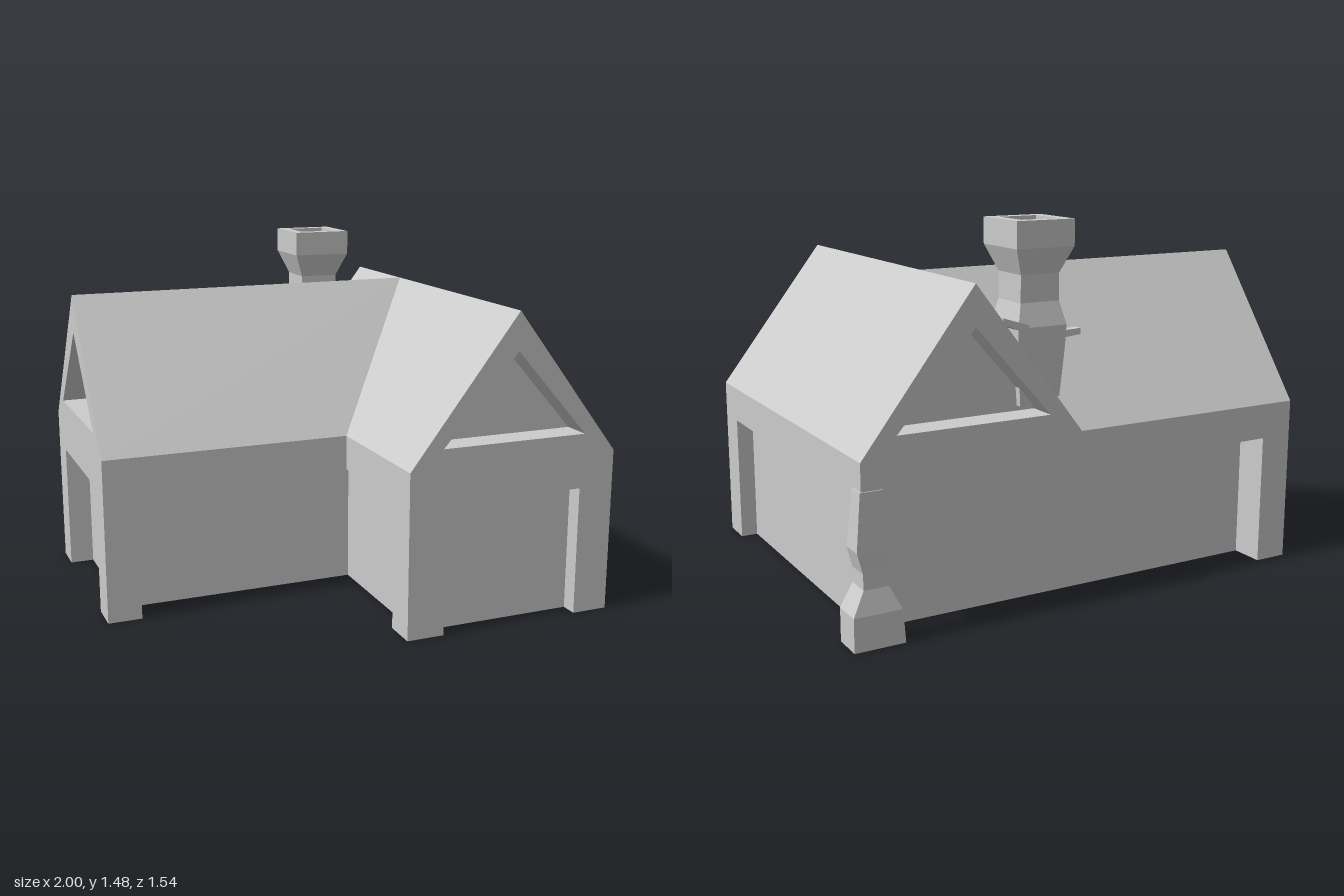
import * as THREE from 'three';

const material = new THREE.MeshStandardMaterial({ color: 0xcccccc, flatShading: true, side: THREE.DoubleSide });

// Flat polygons (corners counter-clockwise from outside) joined in one mesh
function facesMesh(name, faces) {
  const pos = [];
  for (const f of faces)
    for (let i = 1; i < f.length - 1; i++) pos.push(...f[0], ...f[i], ...f[i + 1]);
  const geo = new THREE.BufferGeometry();
  geo.setAttribute('position', new THREE.Float32BufferAttribute(pos, 3));
  geo.computeVertexNormals();
  const mesh = new THREE.Mesh(geo, material);
  mesh.name = name;
  return mesh;
}

// Skin over a stack of rings, with optional end caps
function loft(name, rings, capStart = false, capEnd = false) {
  const faces = [];
  for (let k = 0; k < rings.length - 1; k++) {
    const a = rings[k], b = rings[k + 1];
    a.forEach((p, i) => {
      const j = (i + 1) % a.length;
      faces.push([p, a[j], b[j], b[i]]);
    });
  }
  if (capStart) faces.push([...rings[0]].reverse());
  if (capEnd) faces.push(rings[rings.length - 1]);
  return facesMesh(name, faces);
}

const ringAt = (outline, y) => outline.map(([x, z]) => [x, y, z]);
const rect = (x0, x1, z0, z1) => [[x0, z1], [x1, z1], [x1, z0], [x0, z0]];

// Main dimensions
const L = -1, M = 0.04, R = 0.95, BACK = -0.74, MID = 0.16, FRONT = 0.77;
const LEDGE = 0.535, EAVE = 0.68, RIDGE = 1.272;
const RX = (M + R) / 2, RZ = (BACK + MID) / 2;

// Gable triangle with a sunken triangular niche, facing local +z
function gable(name, half) {
  const g = new THREE.Group();
  g.name = name;
  const tri = [[-half, 0], [half, 0], [0, RIDGE - EAVE]];
  const niche = [[-0.315, 0.08], [0.315, 0.08], [0, 0.435]];
  const vec = (pts) => pts.map(([x, y]) => new THREE.Vector2(x, y));
  const shape = new THREE.Shape(vec(tri));
  shape.holes.push(new THREE.Path(vec(niche).reverse()));
  const wall = new THREE.Mesh(new THREE.ShapeGeometry(shape), material);
  wall.name = 'gableWall';
  const ring = (z) => niche.map(([x, y]) => [x, y, z]);
  g.add(wall, loft('gableNiche', [ring(0), ring(-0.12)], false, true));
  return g;
}

// Flat branch tapering between two points
function branch(a, b, wa, wb) {
  const dx = b[0] - a[0], dz = b[2] - a[2], len = Math.hypot(dx, dz);
  const nx = -dz / len, nz = dx / len;
  const ring = ([x, y, z], w, h) => [
    [x - nx * w, y - h, z - nz * w], [x - nx * w, y + h, z - nz * w],
    [x + nx * w, y + h, z + nz * w], [x + nx * w, y - h, z + nz * w]];
  return loft('chimneyBranch', [ring(a, wa, 0.015), ring(b, wb, 0.012)], true, true);
}

export function createModel() {
  const house = new THREE.Group();
  house.name = 'house';

  // Walls: inset lower storey, ledge, then the overhanging band up to the eaves
  const outer = [[L, MID], [M, MID], [M, FRONT], [R, FRONT], [R, BACK], [L, BACK]];
  const inner = [[-0.9, 0.02], [0.11, 0.02], [0.11, 0.7], [0.88, 0.7], [0.88, -0.6], [-0.9, -0.6]];
  house.add(loft('walls', [
    ringAt(inner, 0), ringAt(inner, LEDGE), ringAt(outer, LEDGE), ringAt(outer, EAVE)]));

  // Square corner posts, open underneath
  const posts = [
    [L, -0.86, 0.02, MID], [L, -0.86, BACK, -0.6],
    [M, 0.197, 0.63, FRONT], [0.797, R, 0.63, FRONT]];
  for (const p of posts) {
    const o = rect(...p);
    house.add(loft('cornerPost', [ringAt(o, 0), ringAt(o, LEDGE)]));
  }

  // Crooked trunk carrying the back corner
  const trunk = [
    [0, 0.8, 1, -0.77, -0.645], [0.13, 0.81, 1, -0.77, -0.645],
    [0.22, 0.855, 0.953, -0.752, -0.652], [0.28, 0.85, 0.953, -0.75, -0.655],
    [0.36, 0.865, 0.975, -0.752, -0.66], [0.575, 0.87, 0.956, -0.745, -0.672]];
  house.add(loft('trunkPost', trunk.map(([y, ...r]) => ringAt(rect(...r), y)), true, true));

  // Roof: two crossing ridges meeting in valleys
  const meet = [RX, RIDGE, RZ], ridgeL = [L, RIDGE, RZ];
  const ridgeF = [RX, RIDGE, FRONT], ridgeB = [RX, RIDGE, BACK];
  const valleyF = [M, EAVE, MID], valleyB = [M, EAVE, BACK];
  house.add(facesMesh('roof', [
    [[L, EAVE, MID], valleyF, meet, ridgeL],
    [valleyB, [L, EAVE, BACK], ridgeL, meet],
    [valleyF, [M, EAVE, FRONT], ridgeF, meet],
    [valleyB, meet, ridgeB],
    [[R, EAVE, FRONT], [R, EAVE, BACK], ridgeB, ridgeF]]));

  // Gables
  const front = gable('frontGable', (R - M) / 2);
  front.position.set(RX, EAVE, FRONT);
  const back = gable('backGable', (R - M) / 2);
  back.position.set(RX, EAVE, BACK);
  back.rotation.y = Math.PI;
  const left = gable('leftGable', (MID - BACK) / 2);
  left.position.set(L, EAVE, RZ);
  left.rotation.y = -Math.PI / 2;
  house.add(front, back, left);

  // Chimney: waisted shaft, flared cap and sunken flue
  const cx = 0.172, cz = -0.56;
  const profile = [
    [0.78, 0.085], [0.98, 0.1], [1.08, 0.105], [1.17, 0.083], [1.275, 0.083],
    [1.375, 0.124], [1.477, 0.124], [1.477, 0.08], [1.37, 0.08]];
  house.add(loft('chimney', profile.map(([y, h]) =>
    ringAt(rect(cx - h, cx + h, cz - h, cz + h), y)), true, true));

  // Branches around the chimney foot
  const branches = [
    [[0.22, 1.07, -0.64], [0.37, 1.12, -0.675], 0.02, 0.03],
    [[0.22, 1.08, -0.5], [0.37, 1.12, -0.475], 0.02, 0.035],
    [[0.13, 1.04, -0.64], [0.005, 1.05, -0.65], 0.02, 0.017],
    [[0.2, 1.07, -0.46], [0.35, 1.12, -0.435], 0.02, 0.015]];
  for (const b of branches) house.add(branch(...b));

  return house;
}
